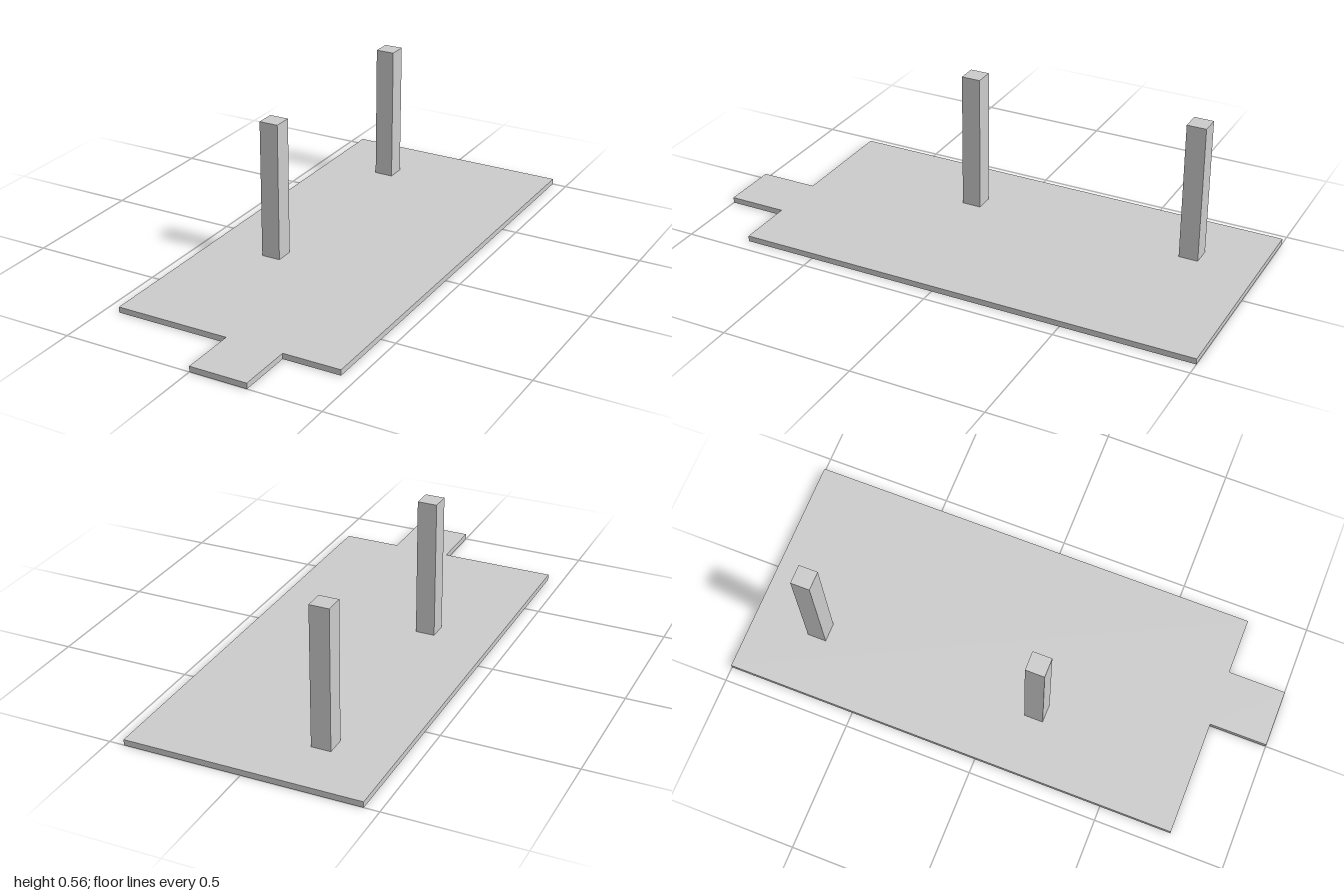
import * as THREE from 'three';

const THICK = 0.022;
const POST = 0.074;
const TOP = 0.556;

export function createModel() {
  const model = new THREE.Group();
  const material = new THREE.MeshStandardMaterial({ color: 0xcccccc, flatShading: true });

  // Floor slab with an entrance tab at the front (outline as x, z)
  const outline = [
    [-0.444, -1], [-0.444, 0.778], [0, 0.778], [0, 1],
    [0.222, 1], [0.222, 0.778], [0.444, 0.778], [0.444, -1],
  ];
  const shape = new THREE.Shape(outline.map(([x, z]) => new THREE.Vector2(x, -z)));
  const slabGeometry = new THREE.ExtrudeGeometry(shape, { depth: THICK, bevelEnabled: false });
  slabGeometry.rotateX(-Math.PI / 2);
  const slab = new THREE.Mesh(slabGeometry, material);
  slab.name = 'floorSlab';
  model.add(slab);

  // Two square posts standing on the slab
  const postGeometry = new THREE.BoxGeometry(POST, TOP - THICK, POST);
  for (const [name, z] of [['frontPost', 0.15], ['backPost', -0.741]]) {
    const post = new THREE.Mesh(postGeometry, material);
    post.name = name;
    post.position.set(-0.185, (TOP + THICK) / 2, z);
    model.add(post);
  }

  return model;
}
